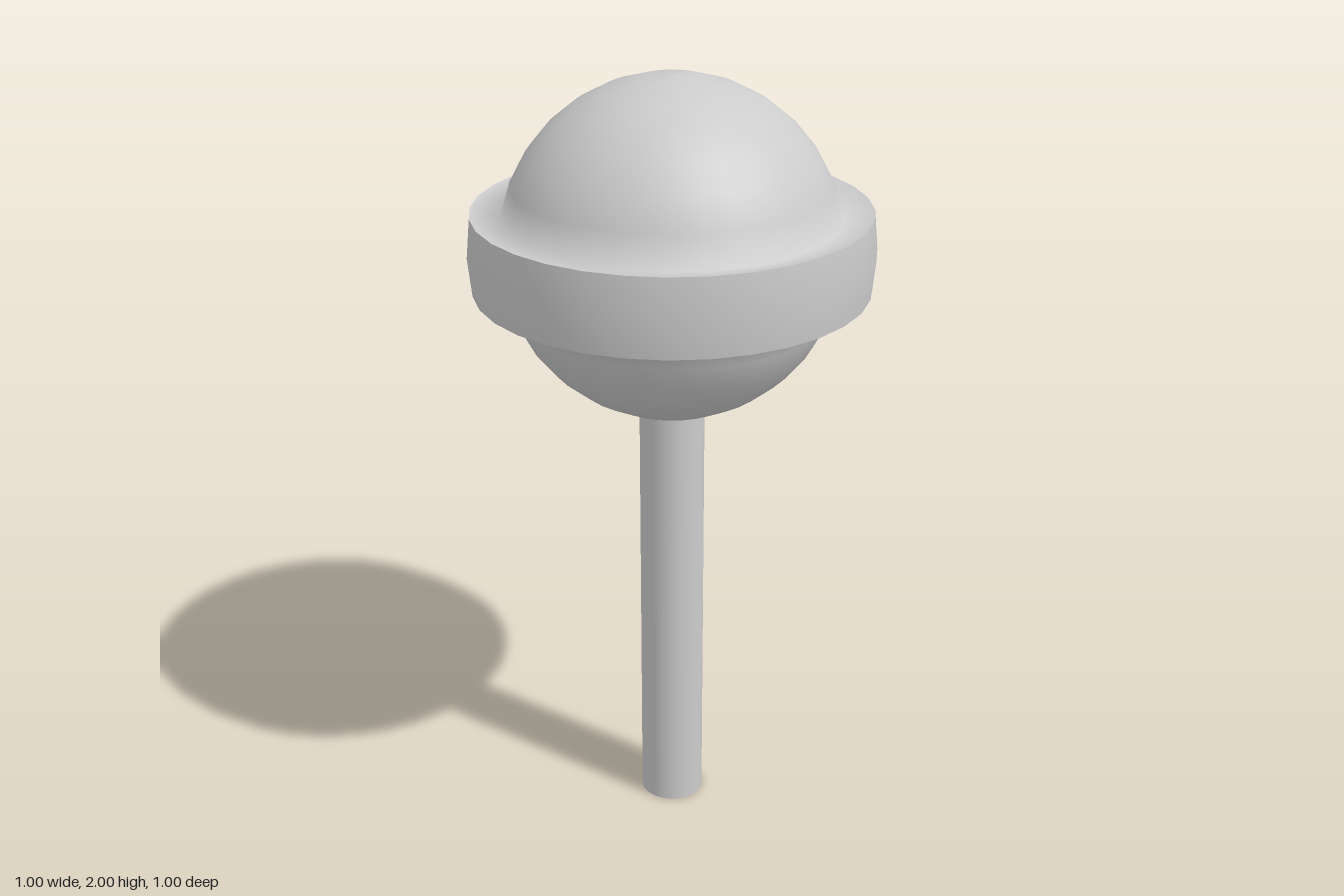
import * as THREE from 'three';

const SIDES = 32;
const STEP = Math.PI / 16; // latitude step of the ball
const R = 0.424;           // ball radius
const RIM = 0.5;           // band radius
const CY = 1.576;          // ball centre height

// Profile point at a latitude, counted in steps from the equator
const at = (radius, k) =>
  new THREE.Vector2(Math.abs(k) === 8 ? 0 : radius * Math.cos(k * STEP), CY + radius * Math.sin(k * STEP));

export function createModel() {
  const group = new THREE.Group();
  const material = new THREE.MeshStandardMaterial({ color: 0xcccccc });
  const add = (name, geometry) => {
    const mesh = new THREE.Mesh(geometry, material);
    mesh.name = name;
    group.add(mesh);
    return mesh;
  };

  // Ball halves, each flowing smoothly into the flange of the band
  const upper = [at(RIM, 1)];
  for (let k = 1; k <= 8; k++) upper.push(at(R, k));
  add('upperBall', new THREE.LatheGeometry(upper, SIDES));

  const lower = [];
  for (let k = -7; k <= -1; k++) lower.push(at(R, k));
  lower.push(at(RIM, -1));
  add('lowerBall', new THREE.LatheGeometry(lower, SIDES));

  // Raised band around the equator
  add('band', new THREE.LatheGeometry([at(RIM, -1), at(RIM, 0), at(RIM, 1)], SIDES));

  // Stick growing from the lowest ring of the ball
  const joint = at(R, -7);
  const stick = add('stick', new THREE.CylinderGeometry(joint.x, joint.x, joint.y, SIDES));
  stick.position.y = joint.y / 2;

  return group;
}
